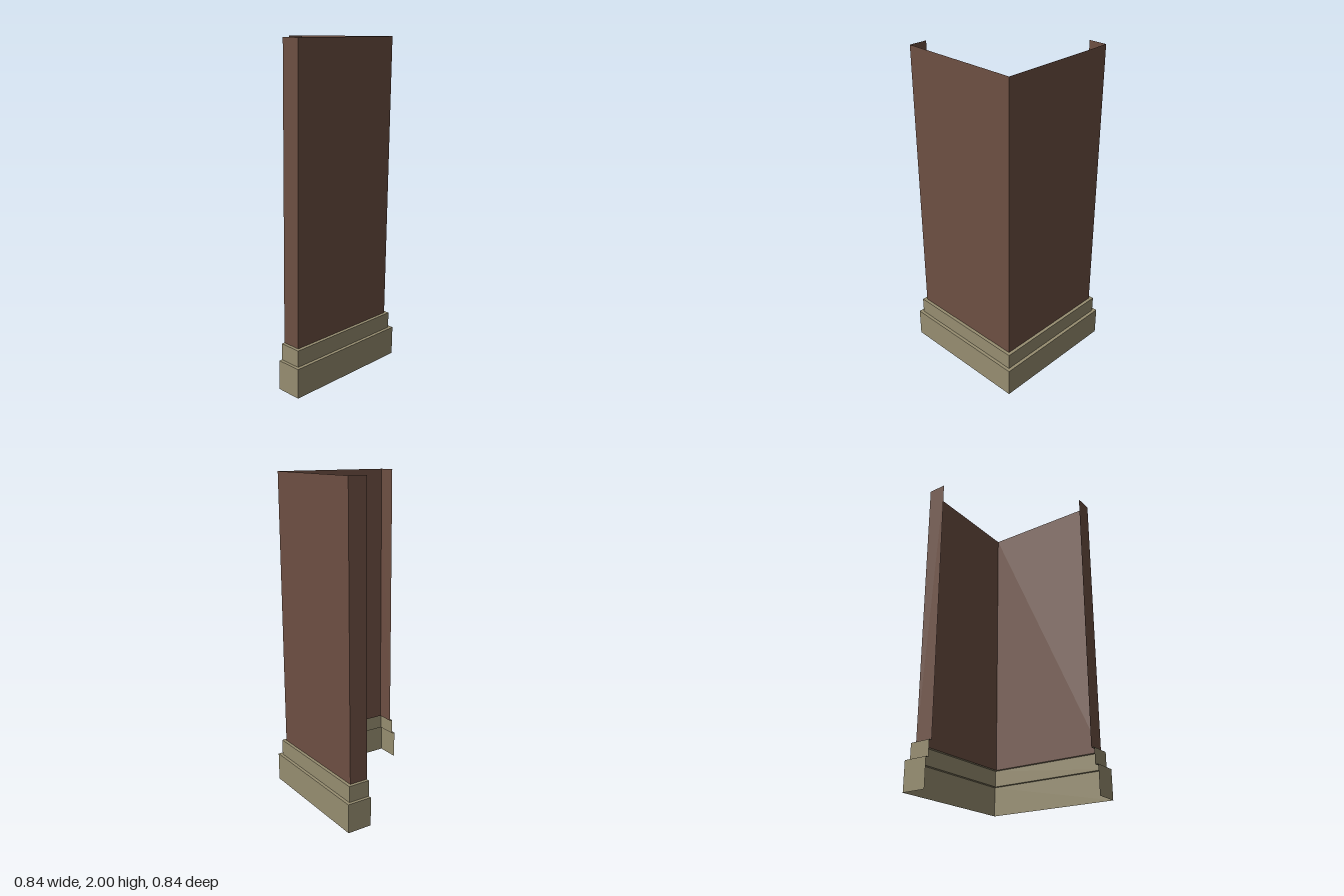
import * as THREE from 'three';

const RETURN_END = 0.265; // where the short returns stop

// Plan of the open wrap at a given half width: return, front, side, return
const plan = (r) => [[-r, RETURN_END], [-r, r], [r, r], [r, -r], [RETURN_END, -r]];

// Thin skin between two levels, each given as [half width, height]
function band(name, lower, upper, material) {
  const a = plan(lower[0]);
  const b = plan(upper[0]);
  const pos = [];
  for (let i = 0; i < a.length - 1; i++) {
    const p = [a[i][0], lower[1], a[i][1]];
    const q = [a[i + 1][0], lower[1], a[i + 1][1]];
    const s = [b[i + 1][0], upper[1], b[i + 1][1]];
    const t = [b[i][0], upper[1], b[i][1]];
    pos.push(...p, ...q, ...s, ...p, ...s, ...t);
  }
  const geometry = new THREE.BufferGeometry();
  geometry.setAttribute('position', new THREE.Float32BufferAttribute(pos, 3));
  geometry.computeVertexNormals();
  const mesh = new THREE.Mesh(geometry, material);
  mesh.name = name;
  return mesh;
}

export function createModel() {
  const wall = new THREE.MeshStandardMaterial({ color: 0x6d4f42, side: THREE.DoubleSide });
  wall.name = 'brown wall';
  const trim = new THREE.MeshStandardMaterial({ color: 0x968d70, side: THREE.DoubleSide });
  trim.name = 'tan trim';

  const group = new THREE.Group();
  group.name = 'cornerPillar';

  // Tall pillar skin
  group.add(band('pillarWall', [0.38, 0.28], [0.38, 2], wall));

  // Stepped plinth, from the floor up
  const plinth = new THREE.Group();
  plinth.name = 'plinth';
  const profile = [[0.42, 0], [0.42, 0.18], [0.4, 0.18], [0.4, 0.28], [0.38, 0.28]];
  const names = ['lowerPlinthFace', 'lowerPlinthLedge', 'upperPlinthFace', 'upperPlinthLedge'];
  names.forEach((name, i) => plinth.add(band(name, profile[i], profile[i + 1], trim)));
  group.add(plinth);

  return group;
}
